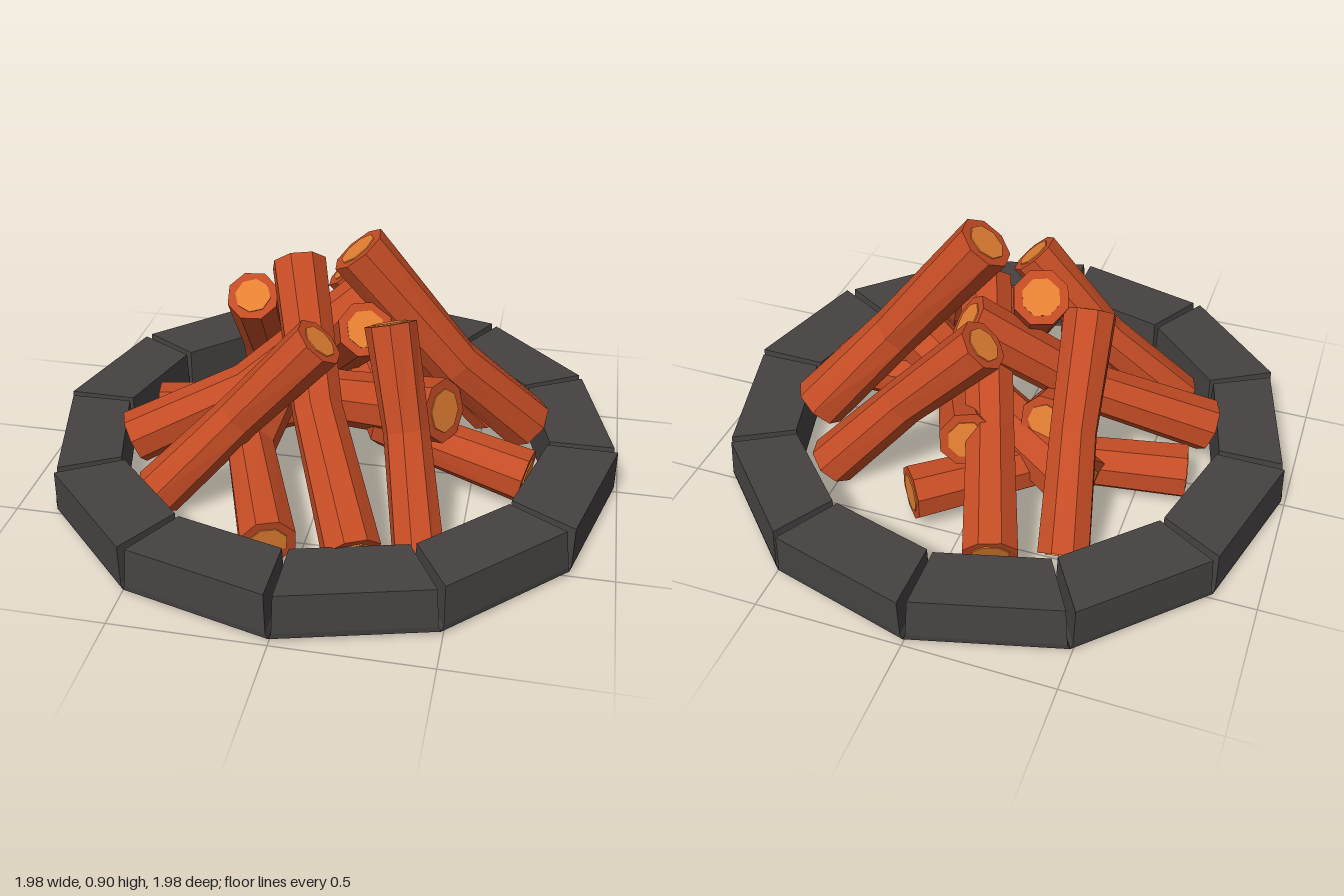
import * as THREE from 'three';

const material = (name, color, extra = {}) => {
  const m = new THREE.MeshStandardMaterial({ color, ...extra });
  m.name = name;
  return m;
};
const bark = material('bark', 0xc44c25, { flatShading: true });
const cutWood = material('cut wood', 0xe68133, { flatShading: true });
const stone = material('dark stone', 0x464242, { flatShading: true });

// Closed faceted solid through a series of equal-sized rings of points
function loft(rings) {
  const pos = [];
  const tri = (a, b, c) => pos.push(...a.toArray(), ...b.toArray(), ...c.toArray());
  const n = rings[0].length;
  for (let r = 0; r < rings.length - 1; r++) {
    for (let i = 0; i < n; i++) {
      const j = (i + 1) % n, a = rings[r], b = rings[r + 1];
      tri(a[i], a[j], b[j]);
      tri(a[i], b[j], b[i]);
    }
  }
  const first = rings[0], last = rings[rings.length - 1];
  for (let i = 1; i < n - 1; i++) {
    tri(first[0], first[i + 1], first[i]);
    tri(last[0], last[i], last[i + 1]);
  }
  const g = new THREE.BufferGeometry();
  g.setAttribute('position', new THREE.Float32BufferAttribute(pos, 3));
  g.computeVertexNormals();
  return g;
}

// Bent eight-sided log from foot through bend to tip, with a pale disc on each cut end
function makeLog(name, foot, bend, tip, radius = 0.095) {
  const pts = [foot, bend, tip].map(p => new THREE.Vector3(...p));
  const t0 = pts[1].clone().sub(pts[0]).normalize();
  const t2 = pts[2].clone().sub(pts[1]).normalize();
  const tangents = [t0, t0.clone().add(t2).normalize(), t2];
  const radii = [radius, radius * 0.9, radius];
  const up = new THREE.Vector3(0, 1, 0);
  const rings = pts.map((p, k) => {
    const u = tangents[k].clone().cross(up).normalize();
    const v = tangents[k].clone().cross(u);
    return Array.from({ length: 8 }, (_, i) => {
      const a = (i + 0.5) * Math.PI / 4;
      return p.clone().addScaledVector(u, Math.cos(a) * radii[k]).addScaledVector(v, Math.sin(a) * radii[k]);
    });
  });
  const group = new THREE.Group();
  group.name = name;
  const body = new THREE.Mesh(loft(rings), bark);
  body.name = 'logBark';
  group.add(body);
  for (const k of [0, 2]) {
    const disc = new THREE.Mesh(new THREE.CylinderGeometry(radius * 0.68, radius * 0.68, 0.008, 8), cutWood);
    disc.name = 'logCutEnd';
    disc.position.copy(pts[k]);
    disc.quaternion.setFromUnitVectors(up, tangents[k]);
    group.add(disc);
  }
  return group;
}

// Wedge stone of the ring, its top drawn in a little to leave a seam
function makeStone(index) {
  const wobble = s => 0.008 * Math.sin(index * 2.3 + s);
  const corner = (r, deg, y) => {
    const a = THREE.MathUtils.degToRad(deg);
    return new THREE.Vector3(r * Math.sin(a), y, r * Math.cos(a));
  };
  const layer = (y, gap, inset) => {
    const a0 = index * 30 + gap, a1 = (index + 1) * 30 - gap;
    const outer = 0.988 - inset, inner = 0.75 + inset * 0.4;
    return [corner(outer, a0, y), corner(outer, a1, y), corner(inner, a1, y), corner(inner, a0, y)];
  };
  const mesh = new THREE.Mesh(loft([
    layer(0.045, 0, 0),
    layer(0.065, 0.5, 0),
    layer(0.2, 0.8, 0.008 + wobble(0)),
  ]), stone);
  mesh.name = 'ringStone';
  return mesh;
}

export function createModel() {
  const model = new THREE.Group();
  model.name = 'campfire';

  const ring = new THREE.Group();
  ring.name = 'stoneRing';
  for (let i = 0; i < 12; i++) ring.add(makeStone(i));
  model.add(ring);

  const pile = new THREE.Group();
  pile.name = 'logPile';
  const logs = [
    // tall logs crossing at the middle
    ['tallLog', [0.19, 0.15, 0.67], [0.0, 0.41, 0.28], [-0.14, 0.76, -0.09], 0.095],
    ['tallLog', [0.665, 0.17, -0.17], [0.41, 0.46, -0.04], [0.08, 0.87, 0.0], 0.1],
    ['tallLog', [-0.17, 0.16, -0.67], [-0.03, 0.33, -0.28], [0.13, 0.64, 0.12], 0.095],
    ['tallLog', [-0.68, 0.16, 0.18], [-0.3, 0.33, 0.04], [0.1, 0.64, -0.13], 0.095],
    // leaning logs set diagonally
    ['leaningLog', [-0.53, 0.09, 0.39], [-0.26, 0.37, 0.3], [0.01, 0.67, 0.29], 0.09],
    ['leaningLog', [0.53, 0.09, -0.36], [0.27, 0.38, -0.3], [-0.01, 0.67, -0.28], 0.09],
    ['leaningLog', [-0.37, 0.09, -0.53], [-0.31, 0.37, -0.25], [-0.28, 0.67, 0.01], 0.09],
    ['leaningLog', [0.38, 0.08, 0.54], [0.3, 0.38, 0.31], [0.22, 0.7, 0.18], 0.085],
    // low logs at the base
    ['baseLog', [-0.66, 0.14, -0.06], [-0.22, 0.15, -0.15], [0.18, 0.15, -0.48], 0.095],
    ['baseLog', [0.69, 0.14, 0.13], [0.2, 0.22, 0.02], [0.02, 0.34, -0.37], 0.095],
    ['baseLog', [-0.08, 0.14, 0.66], [-0.24, 0.22, 0.25], [-0.2, 0.34, -0.2], 0.095],
    ['baseLog', [-0.35, 0.16, -0.27], [0.02, 0.25, -0.08], [0.4, 0.36, 0.12], 0.11],
  ];
  for (const log of logs) pile.add(makeLog(...log));
  model.add(pile);

  return model;
}
